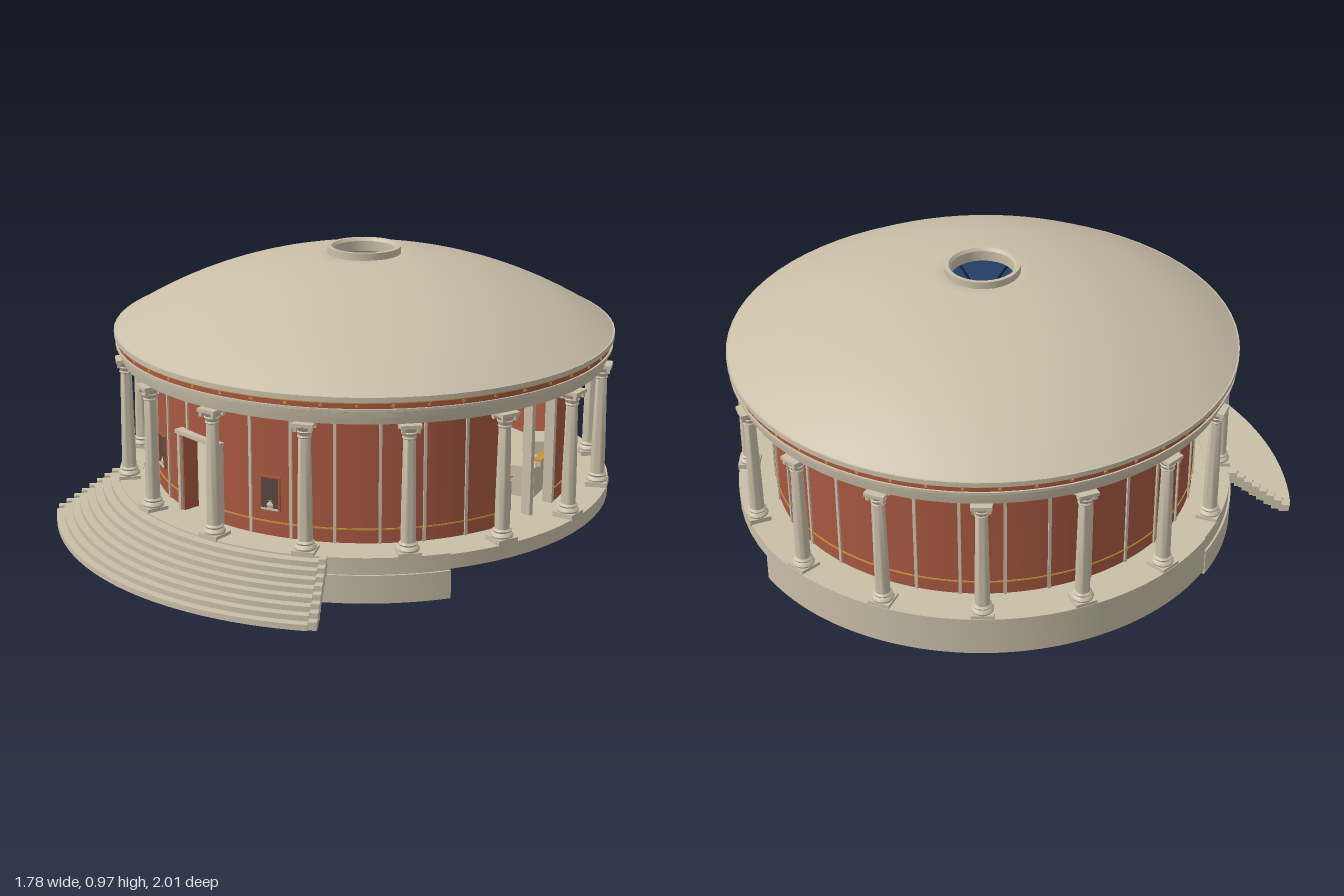
import * as THREE from 'three';
import { toCreasedNormals } from 'three/addons/utils/BufferGeometryUtils.js';

const rad = THREE.MathUtils.degToRad;
function material(name, color, side = THREE.FrontSide) {
  const m = new THREE.MeshStandardMaterial({ color, side });
  m.name = name;
  return m;
}

// Ring segment between two azimuths in degrees (0 = front, 90 = +x)
function sector(r0, r1, y0, y1, a0, a1) {
  const s = new THREE.Shape();
  const p = rad(a0) - Math.PI / 2, q = rad(a1) - Math.PI / 2;
  s.absarc(0, 0, r1, p, q, false);
  s.absarc(0, 0, r0, q, p, true);
  s.closePath();
  const g = new THREE.ExtrudeGeometry(s, {
    depth: y1 - y0, bevelEnabled: false, curveSegments: Math.max(2, Math.ceil((a1 - a0) / 5)),
  });
  g.rotateX(-Math.PI / 2).translate(0, y0, 0);
  return toCreasedNormals(g, 0.5);
}

function lathe(points, segments = 72, crease = 0.5) {
  const g = new THREE.LatheGeometry(points.map(([r, y]) => new THREE.Vector2(r, y)), segments);
  return crease ? toCreasedNormals(g, crease) : g;
}

// Closed ring with a rectangular section
const ring = (r0, r1, y0, y1) => lathe([[r0, y0], [r1, y0], [r1, y1], [r0, y1], [r0, y0]]);

export function createModel() {
  const stone = material('stone', 0xc9bfa8);
  const red = material('terracotta', 0xa85840);
  const dark = material('nicheShadow', 0x584840);
  const gold = material('gilding', 0xc8923c);
  const blue = material('ceilingBlue', 0x24406a, THREE.DoubleSide);
  const navy = material('ribNavy', 0x141f33);

  const model = new THREE.Group();
  model.name = 'roundTemple';
  const body = new THREE.Group();
  body.name = 'temple';
  body.position.z = -0.115;
  model.add(body);

  const add = (name, geometry, mat, parent = body) => {
    const m = new THREE.Mesh(geometry, mat);
    m.name = name;
    parent.add(m);
    return m;
  };
  // Pivot turned so that its local +z points outward at the azimuth
  const pivot = (name, az) => {
    const g = new THREE.Group();
    g.name = name;
    g.rotation.y = rad(az);
    body.add(g);
    return g;
  };
  const box = (name, parent, mat, w, h, d, x, y, z) =>
    add(name, new THREE.BoxGeometry(w, h, d), mat, parent).position.set(x, y, z);

  // Podium: floor slab, recessed foundation and the partial retaining walls
  add('floor', lathe([[0, 0.1], [0.885, 0.1], [0.885, 0.15], [0, 0.15]]), stone);
  add('foundationRing', ring(0.7, 0.77, 0.05, 0.1), stone);
  add('foundationDisc', lathe([[0, 0.07], [0.7, 0.07], [0.7, 0.1]]), stone);
  add('frontRetainingWall', sector(0.8, 0.893, 0, 0.097, -65, 65), stone);
  add('frontFloorEdge', sector(0.8, 0.886, 0.097, 0.155, -65, 65), stone);
  add('leftRetainingWall', sector(0.8, 0.89, 0.015, 0.155, 180, 295), stone);

  // Curved staircase with stepped cheeks
  const steps = 8, tread = 0.028;
  for (let i = 0; i < steps; i++) {
    const outer = 1.115 - i * tread, top = 0.02 + i * 0.0185;
    add('step', sector(outer - tread * 1.9, outer, Math.max(0, top - 0.034), top, -37.5, 37.5), stone);
    for (const s of [-1, 1]) {
      const a = s > 0 ? 37.5 : -39;
      add('stairCheek', sector(outer - tread * 1.5, outer - 0.006,
        Math.max(0, top - 0.03), top + 0.008, a, a + 1.5), stone);
    }
  }

  // Round wall, with doors and the open bays on one side
  const walls = [
    [7.6, 84.4, 0.15], [106.9, 118.1, 0.15], [145, 176.9, 0.15], [183.1, 352.4, 0.15],
    [-7.6, 7.6, 0.435], [176.9, 183.1, 0.3],
  ];
  for (const [a0, a1, y0] of walls) {
    add('wall', sector(0.715, 0.75, y0, 0.6, a0, a1), red);
    add('upperGiltLine', sector(0.745, 0.753, 0.578, 0.584, a0, a1), gold);
    if (y0 < 0.2) add('lowerGiltLine', sector(0.745, 0.753, 0.197, 0.202, a0, a1), gold);
  }

  // Slim upright strips around the wall, also standing as posts in the open bays
  for (let i = 0; i < 32; i++) {
    const az = 5.625 + i * 11.25;
    const overDoor = i === 0 || i === 31;
    const y0 = overDoor ? 0.44 : 0.15, y1 = 0.597;
    const open = az > 84 && az < 145;
    const p = pivot('wallStrip', az);
    box('strip', p, stone, open ? 0.018 : 0.01, y1 - y0, open ? 0.035 : 0.012,
      0, (y0 + y1) / 2, open ? 0.735 : 0.75);
  }

  // Front door surround
  const door = pivot('frontDoor', 0);
  for (const s of [-1, 1]) {
    box('doorJamb', door, stone, 0.013, 0.285, 0.05, s * 0.1, 0.29, 0.745);
    box('doorReveal', door, red, 0.01, 0.27, 0.06, s * 0.09, 0.285, 0.73);
  }
  box('doorLintel', door, stone, 0.222, 0.014, 0.056, 0, 0.434, 0.748);

  // Niches beside the door
  for (const az of [-22.5, 22.5]) {
    const n = pivot('niche', az);
    box('nicheBack', n, dark, 0.064, 0.11, 0.008, 0, 0.3, 0.75);
    for (const s of [-1, 1]) box('nicheEdge', n, red, 0.006, 0.118, 0.014, s * 0.034, 0.3, 0.75);
    box('nicheTop', n, red, 0.074, 0.006, 0.014, 0, 0.357, 0.75);
    box('nicheSill', n, stone, 0.064, 0.006, 0.016, 0, 0.245, 0.751);
    const vase = add('vase', lathe([[0, 0], [0.01, 0], [0.015, 0.012], [0.006, 0.024], [0.01, 0.028], [0, 0.028]], 12), stone, n);
    vase.position.set(0, 0.247, 0.752);
    vase.scale.z = 0.4;
  }

  // Benches inside the open bays
  for (const [az, w] of [[88, 0.15], [113, 0.14], [137, 0.12]]) {
    const p = pivot('bench', az);
    box('benchBlock', p, stone, w, 0.11, 0.09, 0, 0.205, 0.63);
    box('benchTrim', p, gold, w * 0.8, 0.005, 0.03, 0, 0.285, 0.68);
    box('benchBack', p, stone, w * 0.7, 0.022, 0.02, 0, 0.271, 0.68);
  }

  // Colonnade of sixteen columns
  const shaft = lathe([[0, 0.165], [0.036, 0.165], [0.038, 0.173], [0.034, 0.18], [0.029, 0.184], [0.032, 0.19],
    [0.025, 0.196], [0.0245, 0.3], [0.02, 0.545], [0.024, 0.549], [0.021, 0.554],
    [0.027, 0.567], [0.024, 0.57], [0.036, 0.588], [0, 0.588]], 20, 0.7);
  for (let i = 0; i < 16; i++) {
    const p = pivot('column', 11.25 + i * 22.5);
    add('shaft', shaft, stone, p).position.z = 0.85;
    box('plinth', p, stone, 0.076, 0.022, 0.076, 0, 0.156, 0.85);
    box('abacus', p, stone, 0.07, 0.012, 0.07, 0, 0.592, 0.85);
    for (const x of [-1, 1]) for (const z of [-1, 1]) {
      box('volute', p, stone, 0.012, 0.016, 0.012, x * 0.025, 0.578, 0.85 + z * 0.025);
    }
  }

  // Entablature with painted frieze and cornice
  add('entablature', lathe([[0.715, 0.598], [0.862, 0.598], [0.866, 0.62], [0.872, 0.622], [0.875, 0.642],
    [0.883, 0.645], [0.883, 0.654], [0.87, 0.654], [0.87, 0.69]], 72, 0.3), stone);
  add('frieze', ring(0.86, 0.877, 0.654, 0.674), red);
  add('friezeGiltLine', ring(0.865, 0.881, 0.672, 0.677), gold);
  add('cornice', ring(0.86, 0.887, 0.677, 0.694), stone);
  for (let i = 0; i < 48; i++) {
    box('friezeStud', pivot('friezeOrnament', i * 7.5), gold, 0.01, 0.008, 0.006, 0, 0.664, 0.877);
  }

  // Shallow dome with an eye at the top
  const R = 1.636, cap = [];
  for (let i = 0; i <= 14; i++) {
    const r = 0.885 - (0.885 - 0.11) * (i / 14);
    cap.push([r, 0.952 - R + Math.sqrt(R * R - r * r)]);
  }
  const under = cap.slice().reverse().map(([r, y]) => [r, y - 0.02]);
  add('dome', lathe([...cap, ...under], 80, 0), stone);
  add('oculusRing', lathe([[0.108, 0.925], [0.13, 0.942], [0.13, 0.972], [0.116, 0.972],
    [0.108, 0.962], [0.108, 0.925]], 40), stone);

  // Blue inner ceiling with ribs and a gilt boss
  const ceilingY = (r) => 0.79 - 0.19 * (r / 0.74) ** 2;
  const radii = [0.74, 0.64, 0.54, 0.44, 0.34, 0.24, 0.14, 0.06, 0];
  add('ceiling', lathe(radii.map((r) => [r, ceilingY(r)]), 64, 0), blue);
  const ribCurve = new THREE.CatmullRomCurve3(
    radii.slice(0, 8).map((r) => new THREE.Vector3(0, ceilingY(r), r)));
  const rib = new THREE.TubeGeometry(ribCurve, 14, 0.005, 5);
  for (let i = 0; i < 16; i++) add('ceilingRib', rib, navy, pivot('rib', i * 22.5));
  add('ceilingBoss', new THREE.CylinderGeometry(0.036, 0.036, 0.02, 16), gold).position.y = 0.79;
  add('bossCentre', new THREE.CylinderGeometry(0.014, 0.014, 0.026, 12), stone).position.y = 0.79;
  const halo = add('bossHalo', new THREE.TorusGeometry(0.06, 0.004, 6, 32), gold);
  halo.rotation.x = Math.PI / 2;
  halo.position.y = ceilingY(0.06);

  return model;
}
